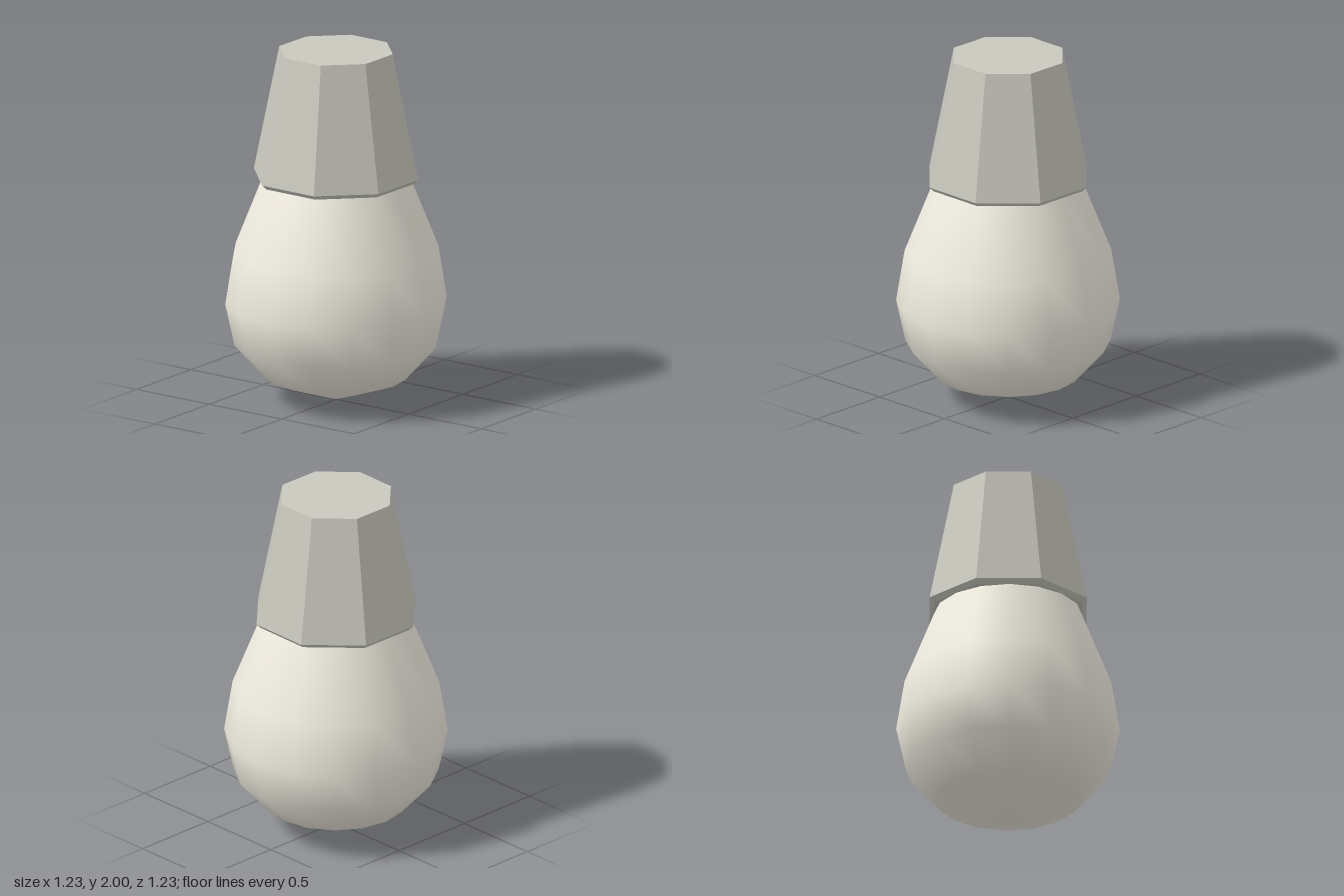
import * as THREE from 'three';

// Solid of revolution from [radius, height] pairs, bottom to top
function turned(name, profile, sides, phiStart, material) {
  const points = profile.map(([r, y]) => new THREE.Vector2(r, y));
  const mesh = new THREE.Mesh(new THREE.LatheGeometry(points, sides, phiStart), material);
  mesh.name = name;
  return mesh;
}

export function createModel() {
  const group = new THREE.Group();
  group.name = 'lightBulb';

  // Smooth pear-shaped glass, its neck running up inside the base
  const glass = new THREE.MeshStandardMaterial({ color: 0xf0ece0 });
  group.add(turned('glassBulb', [
    [0, 0], [0.395, 0.14], [0.565, 0.33], [0.617, 0.57],
    [0.57, 0.86], [0.41, 1.265], [0.395, 1.3],
  ], 16, 0, glass));

  // Faceted octagonal base with a small chamfer at its lower rim
  const metal = new THREE.MeshStandardMaterial({ color: 0xc8c8be, flatShading: true });
  const base = turned('socketBase', [
    [0, 1.265], [0.444, 1.265], [0.469, 1.29], [0.324, 2], [0, 2],
  ], 8, Math.PI / 8, metal);
  base.rotation.y = -0.012;
  group.add(base);

  return group;
}
